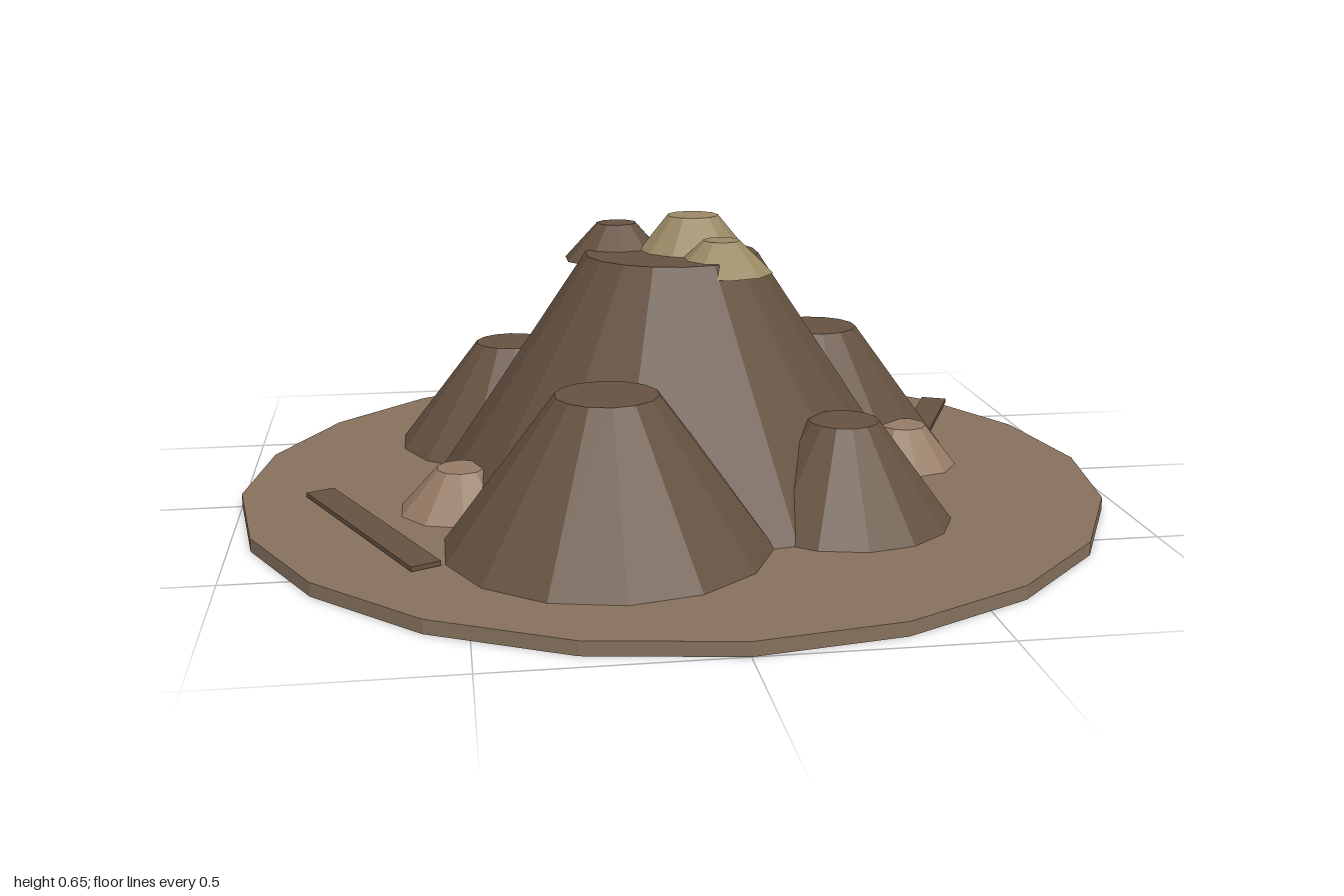
import * as THREE from 'three';

const material = (color) => new THREE.MeshStandardMaterial({ color, flatShading: true });

export function createModel() {
  const model = new THREE.Group();
  const ground = material(0x86715d);
  const earth = material(0x665241);
  const clay = material(0x967c66);
  const sand = material(0x9c8a66);

  // A truncated cone standing between two heights
  const mound = (name, mat, x, z, bottomRadius, topRadius, y0, y1, sides) => {
    const mesh = new THREE.Mesh(new THREE.CylinderGeometry(topRadius, bottomRadius, y1 - y0, sides), mat);
    mesh.position.set(x, (y0 + y1) / 2, z);
    mesh.name = name;
    model.add(mesh);
  };

  // Round base plate and central hill
  mound('base', ground, 0, 0, 1, 1, 0, 0.03, 20);
  mound('mainHill', earth, 0, 0, 0.56, 0.2, 0.03, 0.57, 18);

  // Hills around the central one: x, z, bottom radius, top radius, top height
  [
    [-0.2, 0.45, 0.35, 0.11, 0.355],
    [0.4, -0.25, 0.325, 0.105, 0.33],
    [-0.355, -0.38, 0.285, 0.09, 0.285],
    [0.33, 0.345, 0.24, 0.077, 0.25],
  ].forEach(([x, z, r, t, y], i) => mound(`sideHill${i + 1}`, earth, x, z, r, t, 0.03, y, 14));

  // Small pale heaps at the foot
  [
    [0.055, -0.535, 0.13, 0.053, 0.125],
    [-0.5, 0.17, 0.14, 0.055, 0.125],
    [0.575, -0.03, 0.13, 0.055, 0.125],
  ].forEach(([x, z, r, t, y], i) => mound(`smallHeap${i + 1}`, clay, x, z, r, t, 0.03, y, 10));

  // Heaps on the summit
  mound('summitHeapBack', earth, -0.115, -0.11, 0.125, 0.047, 0.54, 0.625, 10);
  mound('summitHeapMain', sand, 0.055, -0.04, 0.15, 0.06, 0.54, 0.65, 12);
  mound('summitHeapFront', sand, 0.1, 0.1, 0.118, 0.042, 0.54, 0.612, 10);

  // Thin planks lying near the rim: x, z, turn in degrees
  [
    [0, -0.755, 0],
    [-0.7, 0.295, -65],
    [0.7, -0.3, 65],
  ].forEach(([x, z, turn], i) => {
    const plank = new THREE.Mesh(new THREE.BoxGeometry(0.57, 0.01, 0.066), earth);
    plank.position.set(x, 0.038, z);
    plank.rotation.y = THREE.MathUtils.degToRad(turn);
    plank.name = `plank${i + 1}`;
    model.add(plank);
  });

  // Pale shard wedged between two hills
  const shard = new THREE.Mesh(new THREE.ConeGeometry(0.025, 0.08, 5), sand);
  shard.position.set(0.43, 0.14, 0.185);
  shard.rotation.set(1.1, 0, -0.4);
  shard.name = 'shard';
  model.add(shard);

  return model;
}
